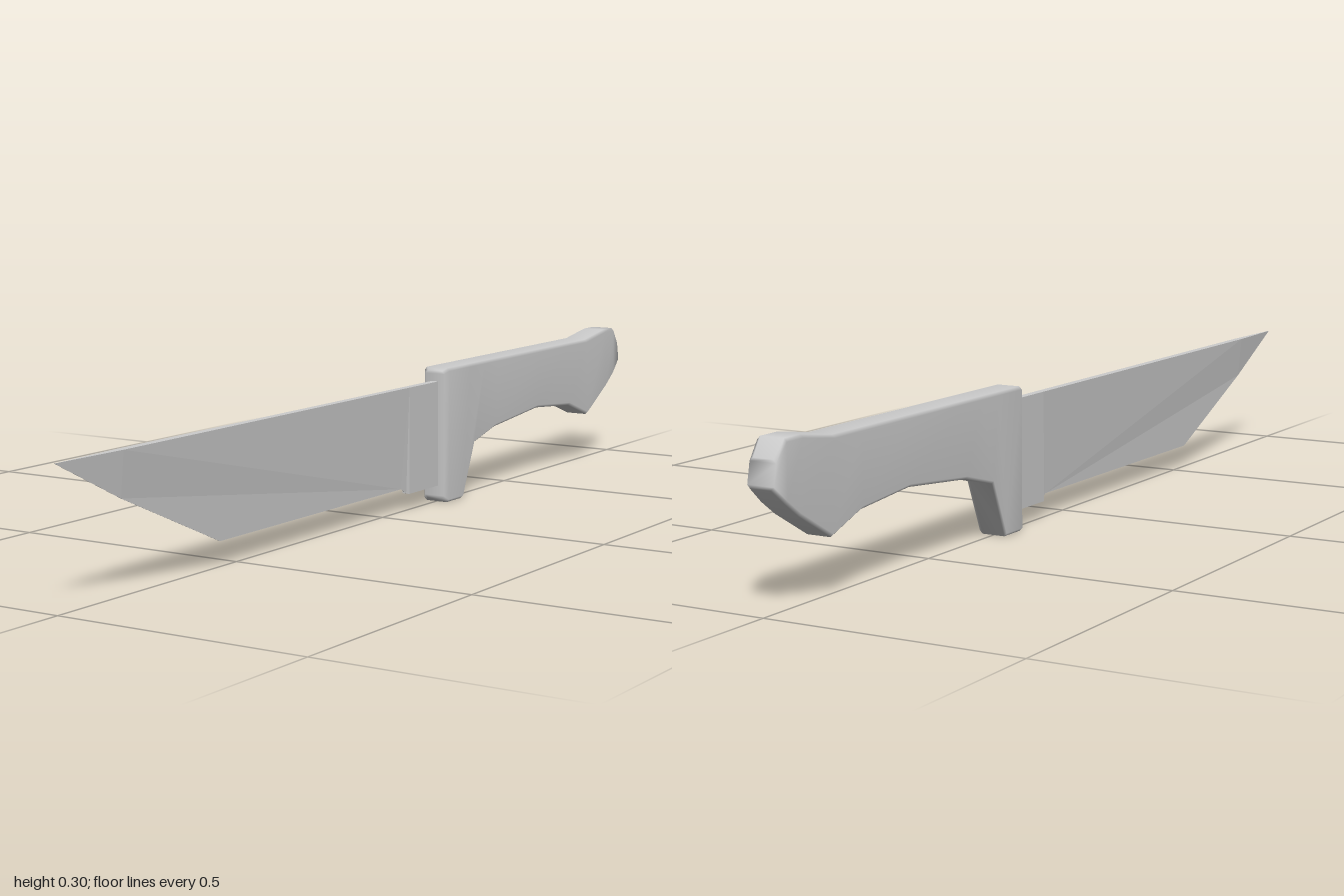
import * as THREE from 'three';

const grey = () => new THREE.MeshStandardMaterial({ color: 0xcccccc, side: THREE.DoubleSide });

// Extrudes a (z, y) outline across x; halfWidth(z, y) sets the thickness at each corner.
function slab(name, outline, halfWidth) {
  const shape = new THREE.Shape(outline.map(([z, y]) => new THREE.Vector2(z, y)));
  const geo = new THREE.ExtrudeGeometry(shape, { depth: 2, bevelEnabled: false });
  geo.translate(0, 0, -1);
  geo.rotateY(-Math.PI / 2);
  const p = geo.attributes.position;
  for (let i = 0; i < p.count; i++) p.setX(i, p.getX(i) * halfWidth(p.getZ(i), p.getY(i)));
  geo.computeVertexNormals();
  const mesh = new THREE.Mesh(geo, grey());
  mesh.name = name;
  return mesh;
}

// Lofts chamfered rectangular sections between paired top and bottom profile points.
function handle() {
  // top z, top y, bottom z, bottom y, half width
  const stations = [
    [-0.203, 0.277, -0.203, 0.008, 0.023],
    [-0.212, 0.283, -0.212, 0.000, 0.03],
    [-0.300, 0.283, -0.270, 0.000, 0.03],
    [-0.360, 0.283, -0.315, 0.110, 0.03],
    [-0.420, 0.283, -0.410, 0.135, 0.03],
    [-0.600, 0.283, -0.600, 0.153, 0.03],
    [-0.750, 0.283, -0.750, 0.140, 0.03],
    [-0.830, 0.283, -0.840, 0.108, 0.03],
    [-0.920, 0.297, -0.930, 0.160, 0.03],
    [-0.965, 0.297, -0.967, 0.187, 0.03],
    [-0.990, 0.265, -1.000, 0.215, 0.027],
  ];
  const c = 0.006, n = 8, pos = [], idx = [];
  for (const [tz, ty, bz, by, w] of stations) {
    const f = c / (ty - by);
    const section = [[w - c, 0], [w, f], [w, 1 - f], [w - c, 1], [c - w, 1], [-w, 1 - f], [-w, f], [c - w, 0]];
    for (const [x, t] of section) pos.push(x, ty + (by - ty) * t, tz + (bz - tz) * t);
  }
  for (let s = 0; s < stations.length - 1; s++) {
    for (let i = 0; i < n; i++) {
      const a = s * n + i, b = s * n + (i + 1) % n;
      idx.push(a, b, a + n, b, b + n, a + n);
    }
  }
  // End caps
  const last = (stations.length - 1) * n;
  for (const [i, j] of [[0, 7], [1, 6], [2, 5]]) {
    const k = i + 1, l = j - 1;
    idx.push(i, j, k, j, l, k);
    idx.push(last + i, last + k, last + j, last + j, last + k, last + l);
  }
  const geo = new THREE.BufferGeometry();
  geo.setAttribute('position', new THREE.Float32BufferAttribute(pos, 3));
  geo.setIndex(idx);
  geo.computeVertexNormals();
  const mesh = new THREE.Mesh(geo, grey());
  mesh.name = 'handle';
  return mesh;
}

export function createModel() {
  const group = new THREE.Group();
  group.name = 'knife';

  // Blade: thick spine narrowing to the cutting edge and the tip
  group.add(slab('blade', [
    [-0.09, 0.255], [-0.09, 0.035], [-0.07, 0.047], [0.55, 0.047],
    [0.83, 0.17], [1, 0.255], [0.83, 0.255],
  ], (z, y) => (y > 0.25 && z < 0.9 ? 0.008 : 0.0004)));

  // Unsharpened block between blade and handle
  group.add(slab('bladeHeel', [
    [-0.22, 0.255], [-0.22, 0.035], [-0.09, 0.035], [-0.09, 0.255],
  ], () => 0.008));

  group.add(handle());
  return group;
}
